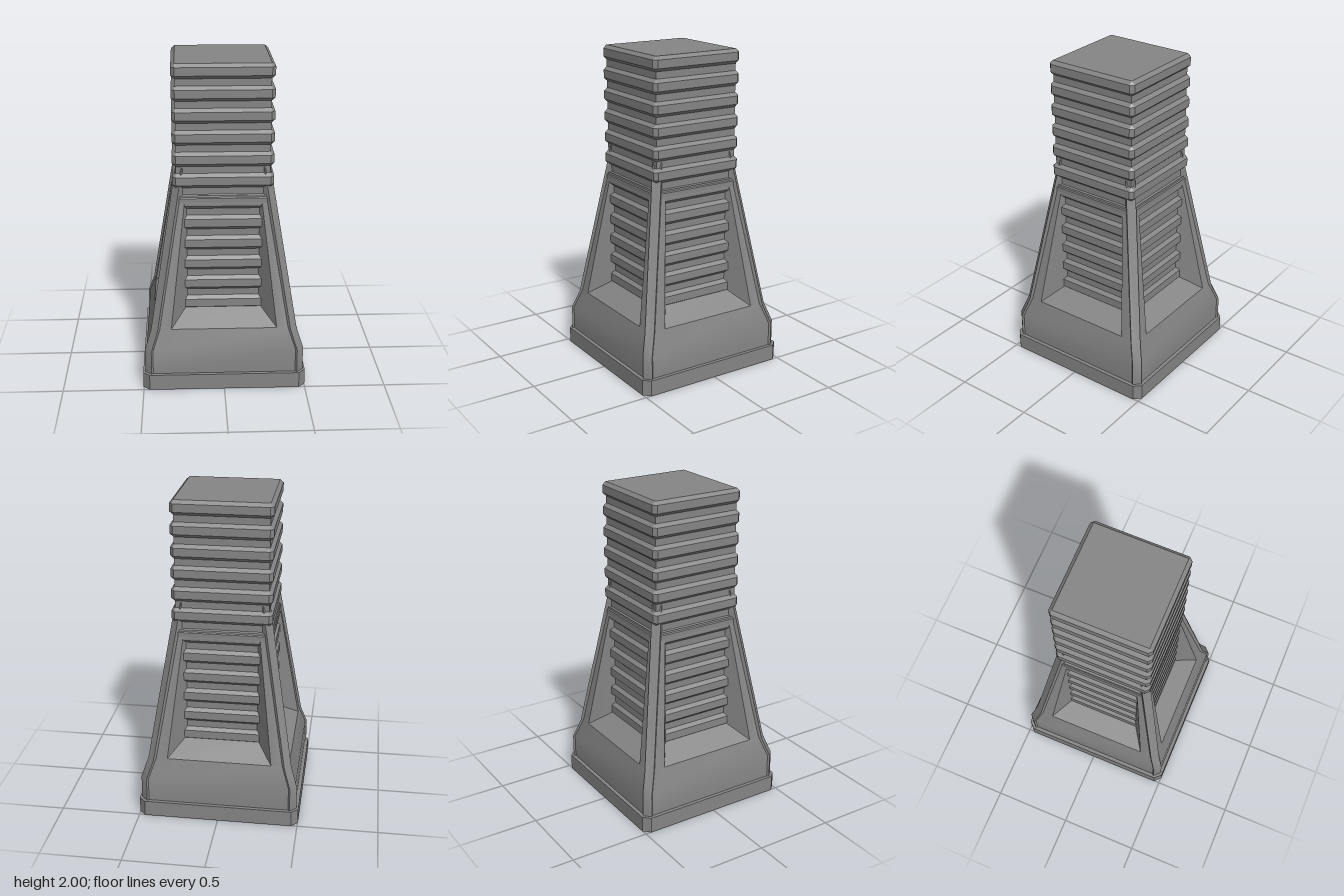
import * as THREE from 'three';
import { toCreasedNormals } from 'three/addons/utils/BufferGeometryUtils.js';

const material = new THREE.MeshStandardMaterial({ color: 0x858585 });

// Mesh from polygons, each a list of [x, y, z] corners, counter-clockwise from outside.
// Gentle bends are smoothed, sharper edges stay crisp.
function polyMesh(name, polys) {
  const pos = [];
  const same = (a, b) => a.every((v, i) => Math.abs(v - b[i]) < 1e-6);
  for (const corners of polys) {
    const p = corners.filter((c, i) => !same(c, corners[(i + 1) % corners.length]));
    for (let i = 1; i < p.length - 1; i++) pos.push(...p[0], ...p[i], ...p[i + 1]);
  }
  const geo = new THREE.BufferGeometry();
  geo.setAttribute('position', new THREE.Float32BufferAttribute(pos, 3));
  const mesh = new THREE.Mesh(toCreasedNormals(geo, 0.5), material);
  mesh.name = name;
  return mesh;
}

// Closed solid through a stack of rings (listed bottom to top, turning from +x to +z)
function loft(name, rings) {
  const polys = [rings[0], [...rings[rings.length - 1]].reverse()];
  for (let j = 0; j < rings.length - 1; j++) {
    const lo = rings[j], hi = rings[j + 1], n = lo.length;
    for (let i = 0; i < n; i++) {
      const k = (i + 1) % n;
      polys.push([lo[i], hi[i], hi[k], lo[k]]);
    }
  }
  return polyMesh(name, polys);
}

// Square ring with corners cut by c (0 keeps them square)
function cutSquare(y, h, c) {
  const e = h - c;
  return [[h, -e], [h, e], [e, h], [-e, h], [-h, e], [-h, -e], [-e, -h], [e, -h]]
    .map(([x, z]) => [x, y, z]);
}

// Rectangle across the corner diagonal, p being its outermost reach
function postRing([y, p]) {
  const w = 0.04, d = 0.05;
  return [[p, y, p - w], [p - w, y, p], [p - w - d, y, p - d], [p - d, y, p - w - d]];
}

// One sloping side with a recessed window
function sidePanel() {
  const CUT = 0.04;
  const levels = [[0.1, 0.48], [0.25, 0.48], [0.38, 0.435], [1.15, 0.307], [1.2, 0.298]];
  const edge = (i, s) => [s * (levels[i][1] - CUT), levels[i][0], levels[i][1]];
  const polys = [0, 1, 3].map(i => [edge(i, -1), edge(i, 1), edge(i + 1, 1), edge(i + 1, -1)]);
  // Window corners on the outer face and on the column
  const outer = [[-0.325, 0.38, 0.435], [0.325, 0.38, 0.435], [0.235, 1.15, 0.307], [-0.235, 1.15, 0.307]];
  const inner = [[-0.22, 0.48, 0.283], [0.22, 0.48, 0.283], [0.22, 1.15, 0.283], [-0.22, 1.15, 0.283]];
  polys.push([edge(2, -1), outer[0], outer[3], edge(3, -1)]);
  polys.push([outer[1], edge(2, 1), edge(3, 1), outer[2]]);
  for (let i = 0; i < 4; i++) {
    const k = (i + 1) % 4;
    polys.push([outer[i], outer[k], inner[k], inner[i]]);
  }
  return polyMesh('sidePanel', polys);
}

export function createModel() {
  const model = new THREE.Group();
  model.name = 'ribbedPillar';

  // Plinth
  model.add(loft('plinth', [cutSquare(0, 0.503, 0.04), cutSquare(0.1, 0.503, 0.04)]));

  // Square column ringed with evenly spaced, corner-cut ribs
  const rings = [cutSquare(0.35, 0.284, 0)];
  for (let k = 11; k >= 0; k--) {
    const top = 2 - 0.1327 * k;
    rings.push(
      cutSquare(top - 0.09, 0.284, 0), cutSquare(top - 0.07, 0.306, 0.022),
      cutSquare(top - 0.02, 0.306, 0.022), cutSquare(top, 0.284, 0));
  }
  model.add(loft('ribbedColumn', rings));

  // Four sloping sides and four corner posts
  const postLevels = [[0.1, 0.49], [0.25, 0.49], [0.37, 0.45], [1.37, 0.287]];
  for (let i = 0; i < 4; i++) {
    const side = new THREE.Group();
    side.name = 'side' + (i + 1);
    side.add(sidePanel(), loft('cornerPost', postLevels.map(postRing)));
    side.rotation.y = i * Math.PI / 2;
    model.add(side);
  }
  return model;
}
